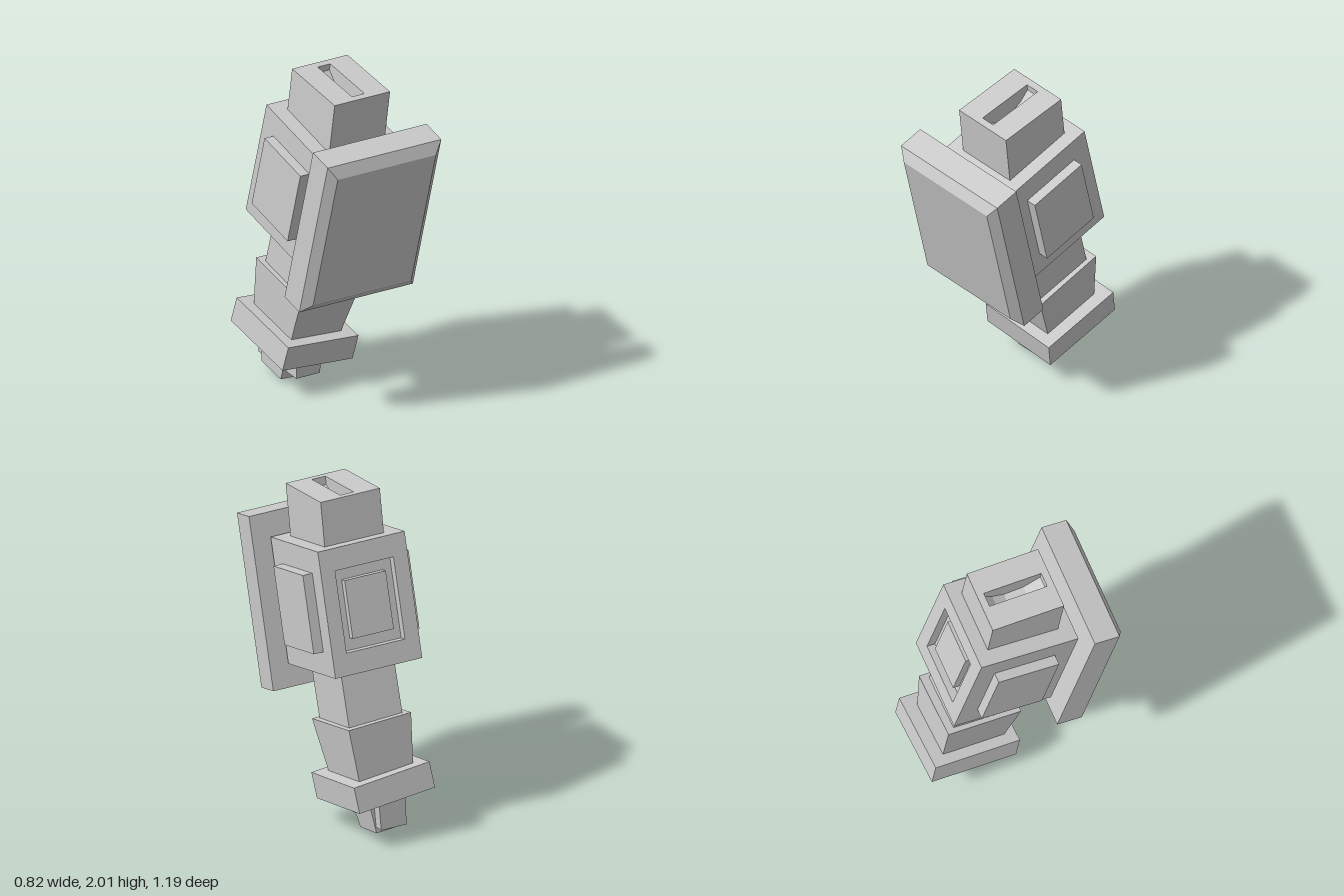
import * as THREE from 'three';

const material = new THREE.MeshStandardMaterial({ color: 0xcccccc, flatShading: true });

// Box whose bottom face is scaled by sx, sz
function taperedBox(w, h, d, sx = 1, sz = 1) {
  const g = new THREE.BoxGeometry(w, h, d);
  const p = g.attributes.position;
  for (let i = 0; i < p.count; i++) {
    if (p.getY(i) < 0) {
      p.setX(i, p.getX(i) * sx);
      p.setZ(i, p.getZ(i) * sz);
    }
  }
  g.computeVertexNormals();
  return g;
}

function rect(PathType, w, h) {
  const [x, y] = [w / 2, h / 2];
  const path = new PathType();
  path.moveTo(-x, -y);
  path.lineTo(x, -y);
  path.lineTo(x, y);
  path.lineTo(-x, y);
  path.closePath();
  return path;
}

// Rectangular frame in the xy plane, extruded from z = 0 to z = depth
function frame(w, h, holeW, holeH, depth) {
  const shape = rect(THREE.Shape, w, h);
  shape.holes.push(rect(THREE.Path, holeW, holeH));
  return new THREE.ExtrudeGeometry(shape, { depth, bevelEnabled: false });
}

export function createModel() {
  const model = new THREE.Group();

  // Segments of the limb, each with its own tilt
  const segment = (name, position, pitch, yaw, roll) => {
    const group = new THREE.Group();
    group.name = name;
    group.position.set(...position);
    group.rotation.set(pitch, yaw, roll, 'YXZ');
    model.add(group);
    return group;
  };
  const add = (parent, name, geometry, x = 0, y = 0, z = 0) => {
    const mesh = new THREE.Mesh(geometry, material);
    mesh.name = name;
    mesh.position.set(x, y, z);
    parent.add(mesh);
    return mesh;
  };

  // Main housing with a recessed back and raised side panels
  const housing = segment('housing', [-0.025, 1.32, -0.04], 0.242, 0.062, -0.031);
  add(housing, 'housingBody', new THREE.BoxGeometry(0.55, 0.74, 0.56), 0, 0, 0.025);
  add(housing, 'backFrame', frame(0.55, 0.74, 0.37, 0.48, 0.05), 0, 0, -0.305);
  add(housing, 'backPanel', new THREE.BoxGeometry(0.26, 0.34, 0.05), 0, 0, -0.27);
  for (const side of [-1, 1]) {
    add(housing, side > 0 ? 'leftPanel' : 'rightPanel',
      new THREE.BoxGeometry(0.08, 0.46, 0.38), side * 0.295, 0, 0);
  }

  // Shield plate with a chamfered front
  const shield = segment('shield', [-0.005, 1.222, 0.352], 0.242, 0.062, -0.031);
  add(shield, 'shieldPlate', new THREE.BoxGeometry(0.77, 1.02, 0.155));
  const chamfer = taperedBox(0.77, 0.045, 1.02, 0.665 / 0.77, 0.89 / 1.02);
  chamfer.rotateX(-Math.PI / 2);
  add(shield, 'shieldChamfer', chamfer, 0, 0, 0.1);
  add(shield, 'shieldMount', new THREE.BoxGeometry(0.3, 0.4, 0.06), 0, 0.05, -0.09);

  // Shoulder block with a slot and a curved slot floor
  const shoulder = segment('shoulder', [0, 1.77, 0.055], 0.13, 0.065, -0.03);
  const block = frame(0.375, 0.44, 0.085, 0.355, 0.4);
  block.rotateX(-Math.PI / 2);
  add(shoulder, 'shoulderBlock', block, 0, -0.2, 0);
  const floor = new THREE.Shape();
  floor.moveTo(-0.1775, -0.2);
  floor.lineTo(0.1775, -0.2);
  for (const [z, y] of [[0.1775, 0.16], [0.115, 0.11], [0.04, 0.08], [-0.08, 0.09], [-0.1775, 0.15]]) {
    floor.lineTo(z, y);
  }
  floor.closePath();
  const floorGeometry = new THREE.ExtrudeGeometry(floor, { depth: 0.085, bevelEnabled: false });
  floorGeometry.translate(0, 0, -0.0425);
  floorGeometry.rotateY(Math.PI / 2);
  add(shoulder, 'slotFloor', floorGeometry);

  // Upper arm and tapered forearm
  const upperArm = segment('upperArm', [-0.035, 0.83, -0.155], 0.25, 0.065, -0.04);
  add(upperArm, 'upperArmBlock', new THREE.BoxGeometry(0.34, 0.5, 0.38));
  const forearm = segment('forearm', [-0.06, 0.495, -0.245], 0.23, 0.08, -0.07);
  add(forearm, 'forearmBlock', taperedBox(0.4, 0.33, 0.46, 0.86, 0.82));

  // Wrist cuff, hollowed underneath
  const wrist = segment('wrist', [-0.08, 0.286, -0.295], 0.21, 0.08, -0.12);
  add(wrist, 'cuffTop', new THREE.BoxGeometry(0.49, 0.105, 0.53), 0, 0.025, 0);
  const rim = frame(0.49, 0.53, 0.36, 0.4, 0.05);
  rim.rotateX(-Math.PI / 2);
  add(wrist, 'cuffRim', rim, 0, -0.0775, 0);

  // Hand made of two crossing blocks
  const palm = segment('palm', [-0.095, 0.155, -0.32], 0.06, 0.08, -0.03);
  add(palm, 'palmBlock', taperedBox(0.17, 0.18, 0.38, 0.95, 1));
  const fist = segment('fist', [-0.1, 0.13, -0.335], 0.2, 0.08, -0.1);
  add(fist, 'fistBlock', taperedBox(0.23, 0.22, 0.25, 0.8, 0.8));

  return model;
}
